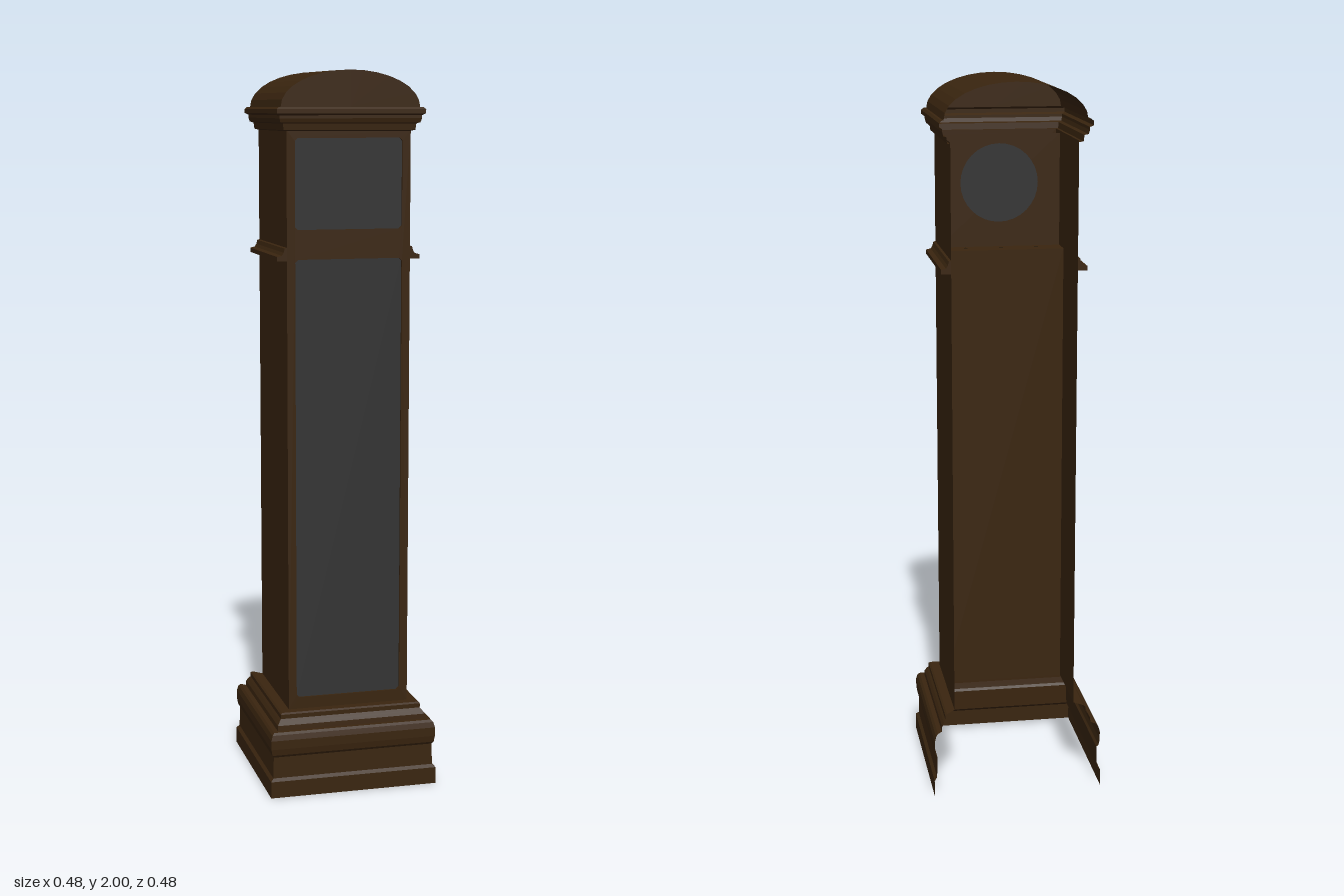
import * as THREE from 'three';

const wood = new THREE.MeshStandardMaterial({ color: 0x3a250f, side: THREE.DoubleSide });
wood.name = 'dark wood';
const glass = new THREE.MeshStandardMaterial({ color: 0x333333, side: THREE.DoubleSide });
glass.name = 'smoky glass';
const hole = new THREE.MeshStandardMaterial({ color: 0x1a1208, side: THREE.DoubleSide });
hole.name = 'hole shadow';

const W = 0.173; // half width of the case

function add(parent, name, geometry, material, x = 0, y = 0, z = 0) {
  const mesh = new THREE.Mesh(geometry, material);
  mesh.name = name;
  mesh.position.set(x, y, z);
  parent.add(mesh);
  return mesh;
}

// Sweep a [half size, height] profile round left, front and right; the back stays open and mitred
function threeSided(profile) {
  const pos = [];
  const ring = ([d, y]) => [[-d, y, -d], [-d, y, d], [d, y, d], [d, y, -d]];
  for (let i = 0; i < profile.length - 1; i++) {
    const lo = ring(profile[i]), hi = ring(profile[i + 1]);
    for (let s = 0; s < 3; s++) {
      pos.push(...lo[s], ...lo[s + 1], ...hi[s + 1], ...lo[s], ...hi[s + 1], ...hi[s]);
    }
  }
  const g = new THREE.BufferGeometry();
  g.setAttribute('position', new THREE.Float32BufferAttribute(pos, 3));
  g.computeVertexNormals();
  return g;
}

// Rectangle with clipped corners
function panelPath(Type, w, y0, y1, c) {
  const p = new Type();
  p.moveTo(-w + c, y0);
  p.lineTo(w - c, y0); p.lineTo(w, y0 + c);
  p.lineTo(w, y1 - c); p.lineTo(w - c, y1);
  p.lineTo(-w + c, y1); p.lineTo(-w, y1 - c);
  p.lineTo(-w, y0 + c); p.closePath();
  return p;
}

export function createModel() {
  const model = new THREE.Group();
  model.name = 'longcaseClock';

  // Stepped plinth
  add(model, 'plinth', threeSided([
    [0.24, 0], [0.24, 0.047], [0.232, 0.055], [0.23, 0.115], [0.235, 0.122], [0.238, 0.14],
    [0.238, 0.165], [0.234, 0.18], [0.228, 0.186], [0.215, 0.186], [0.214, 0.2],
    [0.208, 0.21], [0.203, 0.216], [0.203, 0.228], [0.198, 0.232], [W, 0.232],
  ]), wood);

  // Side walls and their waist mouldings
  for (const s of [-1, 1]) {
    const wall = new THREE.PlaneGeometry(2 * W, 1.61).rotateY(s * Math.PI / 2);
    add(model, s > 0 ? 'leftWall' : 'rightWall', wall, wood, s * W, 1.037, 0);
    const profile = new THREE.Shape([
      [W, 1.492], [0.2, 1.492], [0.2, 1.504], [0.187, 1.507], [0.182, 1.515], [0.179, 1.526], [W, 1.528],
    ].map(([x, y]) => new THREE.Vector2(s * x, y)));
    const strip = new THREE.ExtrudeGeometry(profile, { depth: 2 * W, bevelEnabled: false });
    add(model, s > 0 ? 'leftWaistMoulding' : 'rightWaistMoulding', strip, wood, 0, 0, -W);
  }

  // Front frame with glazed openings
  const openings = [['lowerGlass', 0.265, 1.495], ['upperGlass', 1.575, 1.82]];
  const frame = panelPath(THREE.Shape, W, 0.232, 1.842, 0);
  for (const [name, y0, y1] of openings) {
    frame.holes.push(panelPath(THREE.Path, 0.15, y0, y1, 0.008));
    add(model, name, new THREE.BoxGeometry(0.3, y1 - y0, 0.003), glass, 0, (y0 + y1) / 2, W - 0.007);
  }
  add(model, 'frontFrame', new THREE.ExtrudeGeometry(frame, { depth: 0.008, bevelEnabled: false }),
    wood, 0, 0, W - 0.008);

  // Inner boards: trunk back, shelf for the works, and dial plate
  const trunkZ = 0.035, dialZ = 0.102, shelfY = 1.52;
  add(model, 'trunkBoard', new THREE.PlaneGeometry(2 * W, shelfY - 0.232).rotateY(Math.PI),
    wood, 0, (shelfY + 0.232) / 2, trunkZ);
  add(model, 'shelf', new THREE.PlaneGeometry(2 * W, dialZ - trunkZ).rotateX(-Math.PI / 2),
    wood, 0, shelfY, (dialZ + trunkZ) / 2);
  add(model, 'dialPlate', new THREE.PlaneGeometry(2 * W, 1.835 - shelfY).rotateY(Math.PI),
    wood, 0, (1.835 + shelfY) / 2, dialZ);
  add(model, 'dial', new THREE.CircleGeometry(0.11, 32).rotateY(Math.PI), glass, 0, 1.7, dialZ - 0.003);
  for (const x of [-0.1, 0, 0.1]) {
    add(model, 'shelfHole', new THREE.CircleGeometry(0.006, 12).rotateX(-Math.PI / 2),
      hole, x, shelfY + 0.002, 0.07);
  }

  // Cornice
  add(model, 'cornice', threeSided([
    [W, 1.838], [0.183, 1.841], [0.185, 1.858], [0.194, 1.861], [0.197, 1.872],
    [0.197, 1.88], [0.206, 1.885], [0.206, 1.896], [0.2, 1.902], [0.193, 1.902],
  ]), wood);

  // Arched roof, open at the back, with a closed front
  const R = 0.193, rise = 0.098;
  const arch = new THREE.CylinderGeometry(1, 1, 2 * R, 16, 1, true, Math.PI / 2, Math.PI)
    .rotateX(Math.PI / 2).scale(R, rise, 1).toNonIndexed();
  arch.computeVertexNormals();
  add(model, 'roof', arch, wood, 0, 1.902, 0);
  const front = new THREE.CircleGeometry(1, 16, 0, Math.PI).scale(R, rise, 1);
  add(model, 'roofFront', front, wood, 0, 1.902, R);

  return model;
}
